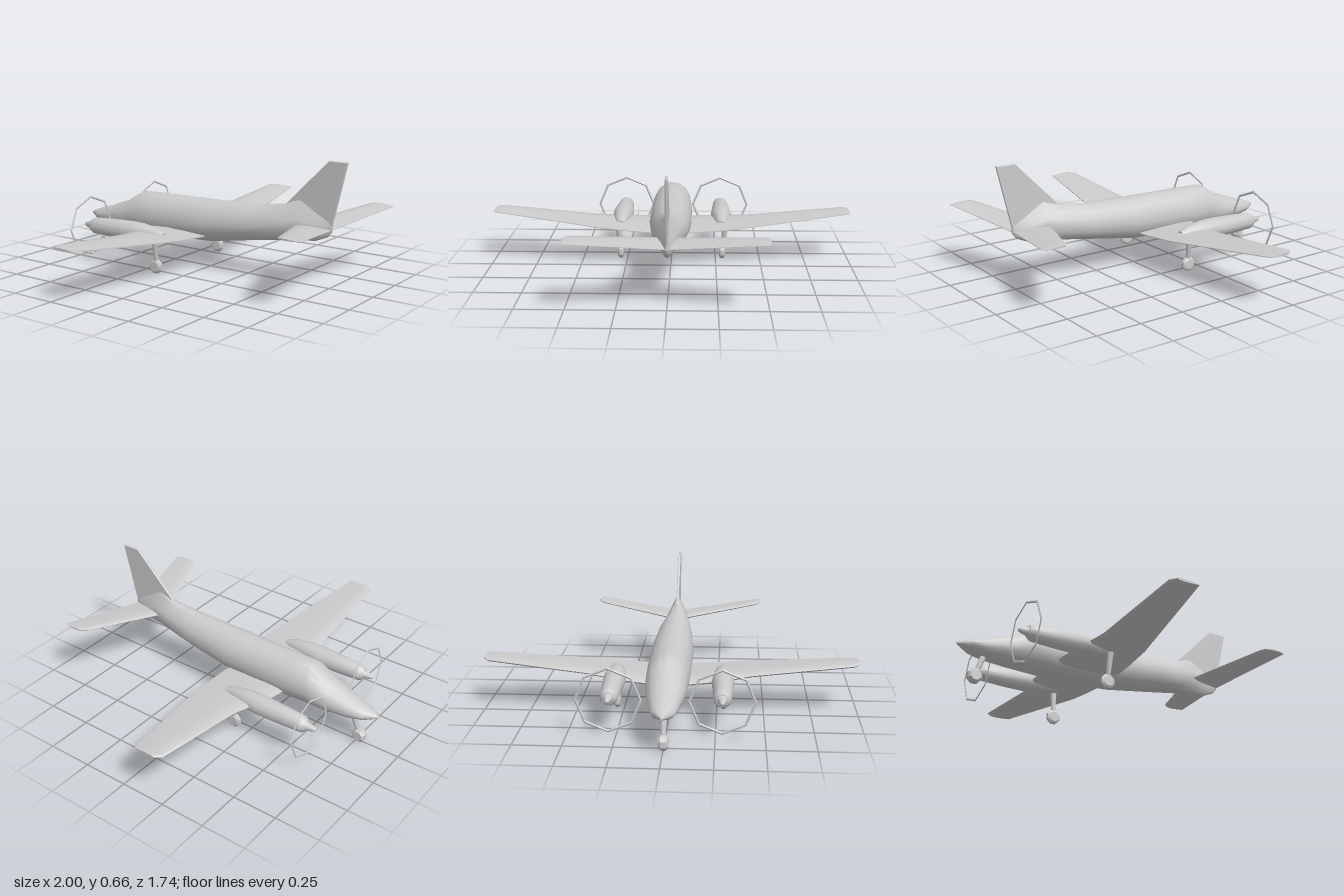
import * as THREE from 'three';
import { toCreasedNormals } from 'three/addons/utils/BufferGeometryUtils.js';

const material = new THREE.MeshStandardMaterial({ color: 0xcccccc, side: THREE.DoubleSide });

// Skin a row of closed rings (arrays of [x, y, z]) and cap both ends.
function loft(rings, crease = 0.6) {
  const n = rings[0].length;
  const tris = [];
  for (let r = 0; r < rings.length - 1; r++) {
    for (let i = 0; i < n; i++) {
      const j = (i + 1) % n;
      const a = rings[r][i], b = rings[r][j], c = rings[r + 1][j], d = rings[r + 1][i];
      tris.push([a, b, c], [a, c, d]);
    }
  }
  const first = rings[0], last = rings[rings.length - 1];
  for (let i = 1; i < n - 1; i++) {
    tris.push([first[0], first[i + 1], first[i]], [last[0], last[i], last[i + 1]]);
  }
  // Turn the faces outward whichever way the rings run
  let volume = 0;
  for (const [a, b, c] of tris) {
    volume += new THREE.Vector3(...a).dot(new THREE.Vector3(...b).cross(new THREE.Vector3(...c)));
  }
  if (volume < 0) tris.forEach((t) => t.reverse());
  const geometry = new THREE.BufferGeometry();
  geometry.setAttribute('position', new THREE.Float32BufferAttribute(tris.flat(2), 3));
  return toCreasedNormals(geometry, crease);
}

// Oval section across z; a larger "peak" sharpens the top into a ridge.
function oval(cx, z, halfWidth, top, bottom, peak = 1, sides = 16) {
  const mid = bottom + (top - bottom) * 0.46;
  return Array.from({ length: sides }, (_, i) => {
    const a = (i / sides) * Math.PI * 2;
    const s = Math.sin(a), c = Math.cos(a);
    const e = c > 0 ? peak : 1;
    return [
      cx + Math.sign(s) * halfWidth * Math.abs(s) ** e,
      mid + (c > 0 ? (top - mid) * c ** e : (mid - bottom) * c),
      z,
    ];
  });
}

// Wing section at x: leading edge, trailing edge, height and thickness.
function airfoil(x, lead, trail, y, thick) {
  const shape = [[0, 0], [0.06, 0.38], [0.3, 0.5], [0.65, 0.35], [1, 0.08],
    [1, -0.08], [0.65, -0.35], [0.3, -0.5], [0.06, -0.38]];
  return shape.map(([u, v]) => [x, y + v * thick, lead + (trail - lead) * u]);
}

function add(parent, name, geometry) {
  const mesh = new THREE.Mesh(geometry, material);
  mesh.name = name;
  parent.add(mesh);
  return mesh;
}

// Tapered leg between two points
function strut(parent, name, from, to, rTop, rBottom) {
  const a = new THREE.Vector3(...from), b = new THREE.Vector3(...to);
  const mesh = add(parent, name, new THREE.CylinderGeometry(rTop, rBottom, a.distanceTo(b), 8));
  mesh.position.copy(a).add(b).multiplyScalar(0.5);
  mesh.quaternion.setFromUnitVectors(new THREE.Vector3(0, 1, 0), a.sub(b).normalize());
}

// Eight-sided tyre with bevelled shoulders
function wheel(parent, name, x, y, z, width) {
  const w = width / 2, r = 0.04;
  const profile = [[0.001, -w], [r * 0.72, -w], [r, -w * 0.5], [r, w * 0.5], [r * 0.72, w], [0.001, w]]
    .map((p) => new THREE.Vector2(...p));
  const geometry = new THREE.LatheGeometry(profile, 8);
  geometry.rotateY(Math.PI / 8).rotateZ(Math.PI / 2);
  add(parent, name, toCreasedNormals(geometry, 0.5)).position.set(x, y, z);
}

export function createModel() {
  const model = new THREE.Group();
  model.name = 'airplane';

  // Fuselage: z, half width, top, bottom, ridge sharpness
  const stations = [
    [-0.87, 0.006, 0.203, 0.19, 1],
    [-0.797, 0.058, 0.232, 0.163, 1],
    [-0.72, 0.075, 0.255, 0.146, 1],
    [-0.577, 0.1, 0.307, 0.137, 1],
    [-0.47, 0.11, 0.372, 0.133, 1],
    [-0.35, 0.115, 0.376, 0.13, 1],
    [0.03, 0.115, 0.382, 0.147, 1],
    [0.31, 0.096, 0.39, 0.193, 1.05],
    [0.48, 0.071, 0.415, 0.219, 1.3],
    [0.577, 0.055, 0.455, 0.231, 1.9],
    [0.665, 0.032, 0.407, 0.24, 1.9],
    [0.735, 0.014, 0.37, 0.27, 1.6],
    [0.76, 0.005, 0.355, 0.3, 1],
  ];
  add(model, 'fuselage', loft(stations.map((s) => oval(0, ...s))));

  // Fin: swept plate running out of the dorsal ridge
  const finOutline = [[0.48, 0.41], [0.735, 0.665], [0.84, 0.665], [0.76, 0.33], [0.6, 0.33]];
  const finAt = (x, inset) => finOutline.map(([z, y]) =>
    [x, y + (0.45 - y) * inset, z + (0.68 - z) * inset]);
  add(model, 'fin', loft([finAt(-0.007, 0.02), finAt(-0.003, 0), finAt(0.003, 0), finAt(0.007, 0.02)], 0.3));

  // Wing halves and tailplanes: x, leading z, trailing z, height, thickness
  const wing = [
    [0, -0.345, 0.025, 0.185, 0.036],
    [0.115, -0.34, 0.025, 0.193, 0.036],
    [0.22, -0.325, 0.022, 0.2, 0.034],
    [0.375, -0.285, 0.015, 0.214, 0.03],
    [0.44, -0.27, 0.004, 0.221, 0.028],
    [0.97, -0.245, -0.085, 0.275, 0.022],
    [1, -0.215, -0.09, 0.278, 0.014],
  ];
  const tailplane = [
    [0, 0.545, 0.755, 0.308, 0.022],
    [0.06, 0.567, 0.768, 0.314, 0.022],
    [0.46, 0.72, 0.86, 0.36, 0.016],
    [0.485, 0.74, 0.867, 0.363, 0.014],
    [0.495, 0.77, 0.83, 0.364, 0.01],
  ];

  // Nacelle: z, half width, top, bottom
  const nacelle = [
    [-0.615, 0.032, 0.236, 0.172],
    [-0.592, 0.045, 0.25, 0.159],
    [-0.45, 0.053, 0.26, 0.155],
    [-0.33, 0.06, 0.265, 0.157],
    [-0.26, 0.055, 0.263, 0.165],
    [-0.16, 0.037, 0.25, 0.18],
    [-0.105, 0.024, 0.228, 0.19],
  ];
  const spinnerProfile = [[0.001, 0.058], [0.009, 0.055], [0.017, 0.035], [0.021, 0.012], [0.03, 0]]
    .map((p) => new THREE.Vector2(...p));

  for (const side of [1, -1]) {
    const label = side > 0 ? 'left' : 'right';
    const mirror = ([x, ...rest]) => airfoil(x * side, ...rest);
    add(model, label + 'Wing', loft(wing.map(mirror), 0.7));
    add(model, label + 'Tailplane', loft(tailplane.map(mirror), 0.7));

    // Engine with spinner and octagonal propeller rim
    const engine = new THREE.Group();
    engine.name = label + 'Engine';
    model.add(engine);
    const x = 0.284 * side;
    add(engine, 'nacelle', loft(nacelle.map((s) => oval(x, ...s, 1, 12))));
    const spinner = add(engine, 'spinner', new THREE.LatheGeometry(spinnerProfile.slice().reverse(), 12));
    spinner.rotation.x = -Math.PI / 2;
    spinner.position.set(x, 0.203, -0.612);
    const rim = add(engine, 'propellerRim', toCreasedNormals(new THREE.TorusGeometry(0.164, 0.007, 4, 8), 0.3));
    rim.scale.z = 0.5;
    rim.position.set(x, 0.2, -0.628);

    // Main landing gear
    const gear = new THREE.Group();
    gear.name = label + 'MainGear';
    model.add(gear);
    strut(gear, 'strut', [0.305 * side, 0.195, -0.15], [0.288 * side, 0.04, -0.157], 0.018, 0.01);
    wheel(gear, 'wheel', 0.288 * side, 0.037, -0.158, 0.032);
  }

  // Nose landing gear
  const noseGear = new THREE.Group();
  noseGear.name = 'noseGear';
  model.add(noseGear);
  strut(noseGear, 'strut', [0, 0.17, -0.715], [0, 0.04, -0.765], 0.018, 0.011);
  wheel(noseGear, 'wheel', 0, 0.037, -0.765, 0.048);

  return model;
}
